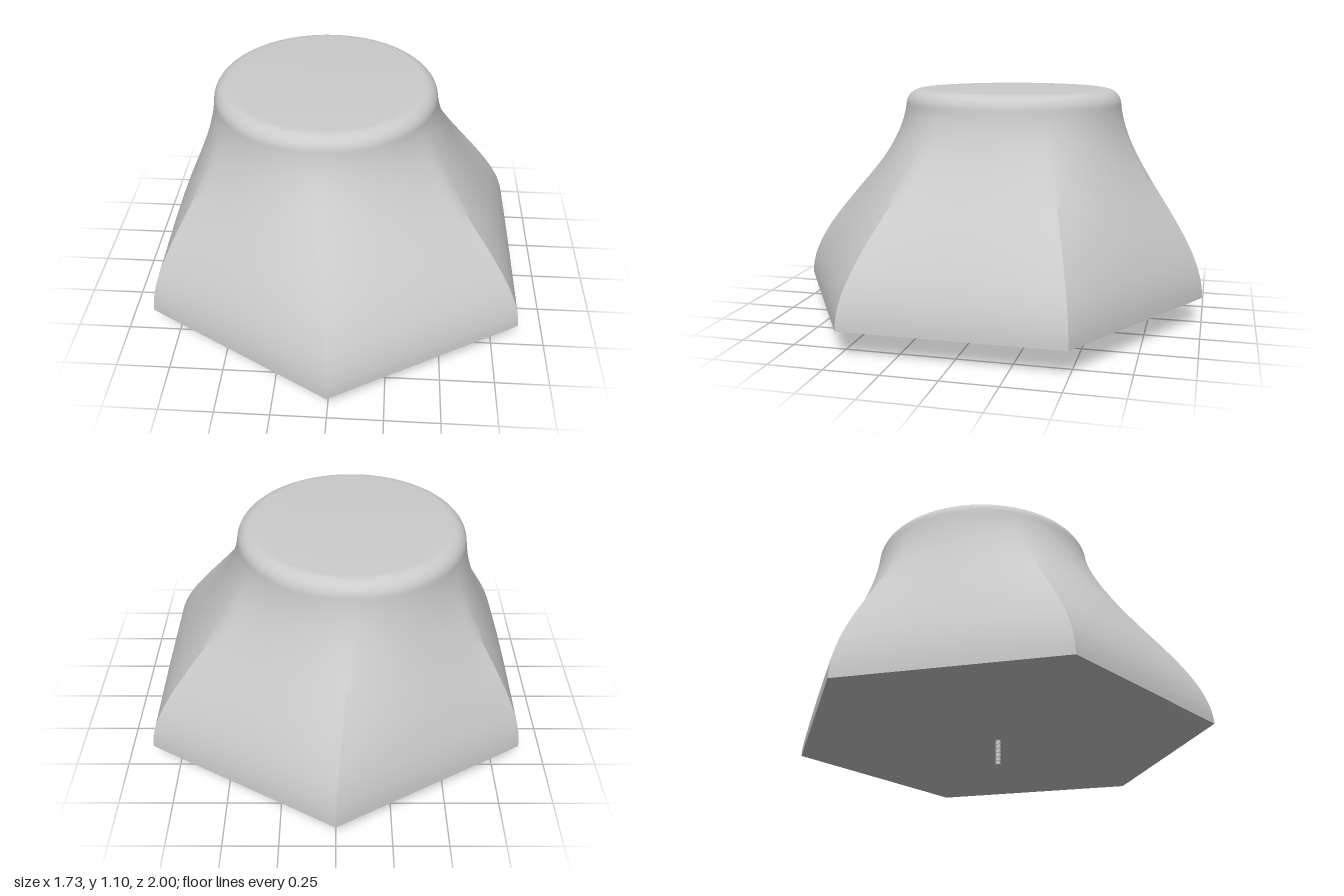
import * as THREE from 'three';
import { toCreasedNormals } from 'three/addons/utils/BufferGeometryUtils.js';

const SIDES = 6, PER_SIDE = 14, COLS = SIDES * PER_SIDE;
const BASE_Y = 0.12, NECK_Y = 1.02, TOP_R = 0.522, FILLET = 0.075;
const TOP_X = -0.072, TOP_Z = -0.062;

// Point on the unit hexagon, one corner facing +z
function hexPoint(i) {
  const side = Math.floor(i / PER_SIDE), f = (i % PER_SIDE) / PER_SIDE;
  const a = side * Math.PI / 3, b = a + Math.PI / 3;
  return [Math.sin(a) * (1 - f) + Math.sin(b) * f, Math.cos(a) * (1 - f) + Math.cos(b) * f];
}

// Point on the off-centre round top
function circlePoint(i, r) {
  const a = i / COLS * Math.PI * 2;
  return [TOP_X + r * Math.sin(a), TOP_Z + r * Math.cos(a)];
}

// Hexagon blended into a circle, with a rounded rim and flat caps
function bodyGeometry() {
  const rows = [], LOFT = 28, ROUND = 10;
  for (let j = 0; j <= LOFT; j++) {
    const t = j / LOFT;
    const blend = t * t * (3 - 2 * t) + 0.3 * (t ** 3 - t ** 2); // flares out from the neck
    rows.push(i => {
      const [hx, hz] = hexPoint(i), [cx, cz] = circlePoint(i, TOP_R);
      return [hx + (cx - hx) * blend, BASE_Y + (NECK_Y - BASE_Y) * t, hz + (cz - hz) * blend];
    });
  }
  for (let j = 1; j <= ROUND; j++) {
    const a = j / ROUND * Math.PI / 2;
    rows.push(i => {
      const [x, z] = circlePoint(i, TOP_R - FILLET * (1 - Math.cos(a)));
      return [x, NECK_Y + FILLET * Math.sin(a), z];
    });
  }

  const pos = [], index = [];
  for (const row of rows) for (let i = 0; i < COLS; i++) pos.push(...row(i));
  const bottom = pos.length / 3, top = bottom + 1, last = (rows.length - 1) * COLS;
  pos.push(0, BASE_Y, 0, TOP_X, NECK_Y + FILLET, TOP_Z);
  for (let i = 0; i < COLS; i++) {
    const n = (i + 1) % COLS;
    for (let j = 0; j < rows.length - 1; j++) {
      const a = j * COLS + i, b = j * COLS + n;
      index.push(a, b, b + COLS, a, b + COLS, a + COLS);
    }
    index.push(bottom, n, i, top, last + i, last + n);
  }
  const g = new THREE.BufferGeometry();
  g.setAttribute('position', new THREE.Float32BufferAttribute(pos, 3));
  g.setIndex(index);
  return toCreasedNormals(g, 0.5);
}

// Helical path of the screw thread
class Helix extends THREE.Curve {
  getPoint(t, target = new THREE.Vector3()) {
    const a = t * 6 * Math.PI * 2;
    return target.set(0.0115 * Math.sin(a), 0.003 + 0.122 * t, 0.0115 * Math.cos(a));
  }
}

export function createModel() {
  const group = new THREE.Group();
  const material = new THREE.MeshStandardMaterial({ color: 0xcccccc });

  const body = new THREE.Mesh(bodyGeometry(), material);
  body.name = 'body';
  group.add(body);

  // Threaded stud under the base
  const stud = new THREE.Group();
  stud.name = 'stud';
  const shaft = new THREE.Mesh(new THREE.CylinderGeometry(0.012, 0.012, 0.13, 20), material);
  shaft.name = 'shaft';
  shaft.position.y = 0.065;
  const thread = new THREE.Mesh(new THREE.TubeGeometry(new Helix(), 144, 0.003, 6), material);
  thread.name = 'thread';
  stud.add(shaft, thread);
  group.add(stud);

  return group;
}
